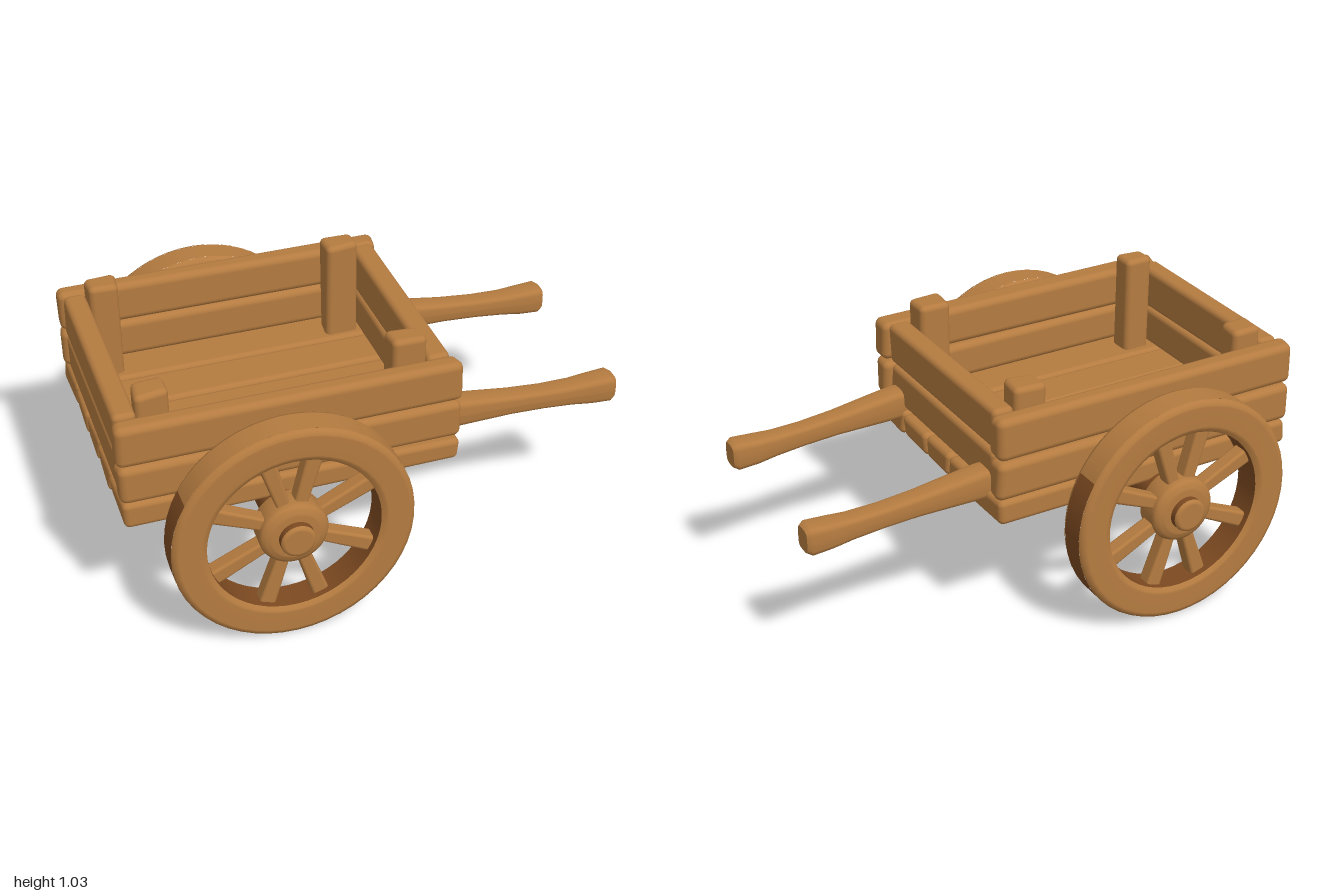
import * as THREE from 'three';
import { RoundedBoxGeometry } from 'three/addons/geometries/RoundedBoxGeometry.js';

const wood = new THREE.MeshStandardMaterial({ color: 0xb47b40 });
wood.name = 'wood';
const darkWood = new THREE.MeshStandardMaterial({ color: 0x7d4a21 });
darkWood.name = 'dark wood';

// Small seeded generator for hand-cut irregularity
let seed = 7;
function wobble(amount) {
  seed = (seed * 16807) % 2147483647;
  return (seed / 2147483647 - 0.5) * 2 * amount;
}

function add(parent, name, geometry, material = wood) {
  const mesh = new THREE.Mesh(geometry, material);
  mesh.name = name;
  parent.add(mesh);
  return mesh;
}

// Rounded plank between two corners, with slightly uneven corners
function plank(parent, name, [x0, x1], [y0, y1], [z0, z1], radius = 0.022) {
  const geo = new RoundedBoxGeometry(x1 - x0, y1 - y0, z1 - z0, 3, radius);
  const shift = Array.from({ length: 8 }, () => [wobble(0.004), wobble(0.005), wobble(0.004)]);
  const p = geo.attributes.position;
  for (let i = 0; i < p.count; i++) {
    const s = shift[(p.getX(i) > 0 ? 1 : 0) + (p.getY(i) > 0 ? 2 : 0) + (p.getZ(i) > 0 ? 4 : 0)];
    p.setXYZ(i, p.getX(i) + s[0], p.getY(i) + s[1], p.getZ(i) + s[2]);
  }
  const mesh = add(parent, name, geo);
  mesh.position.set((x0 + x1) / 2, (y0 + y1) / 2, (z0 + z1) / 2);
  return mesh;
}

// Profile of [radius, z] turned about the z axis
function turned(parent, name, profile, material = wood, start = 0, sweep = Math.PI * 2) {
  const points = profile.map(([r, z]) => new THREE.Vector2(r, z));
  const geo = new THREE.LatheGeometry(points, Math.max(12, Math.round(sweep * 8)), start, sweep);
  geo.rotateX(Math.PI / 2);
  return add(parent, name, geo, material);
}

// Shaft lofted along x from sections of [x, centre y, centre z, half height, half width]
function makeHandle(parent, side) {
  const sections = [
    [0.2, 0.632, 0.352, 0.06, 0.053],
    [0.3, 0.63, 0.352, 0.06, 0.053],
    [0.42, 0.622, 0.35, 0.052, 0.05],
    [0.56, 0.612, 0.348, 0.043, 0.045],
    [0.7, 0.602, 0.346, 0.041, 0.043],
    [0.82, 0.595, 0.344, 0.045, 0.045],
    [0.9, 0.592, 0.343, 0.053, 0.05],
    [0.98, 0.592, 0.343, 0.058, 0.052],
    [1.0, 0.592, 0.343, 0.046, 0.04],
  ];
  const n = sections.length - 1;
  const geo = new THREE.CylinderGeometry(1, 1, 1, 20, n);
  geo.rotateZ(-Math.PI / 2);
  const p = geo.attributes.position;
  const square = (v) => Math.sign(v) * Math.pow(Math.abs(v), 0.5);
  for (let i = 0; i < p.count; i++) {
    const [x, cy, cz, hy, hz] = sections[Math.round((p.getX(i) + 0.5) * n)];
    p.setXYZ(i, x, cy + hy * square(p.getY(i)), cz * side + hz * square(p.getZ(i)));
  }
  geo.computeVertexNormals();
  add(parent, 'handle', geo);
}

function makeWheel() {
  const wheel = new THREE.Group();
  wheel.name = 'wheel';

  // Rim: two side faces, a worn tread on top, dark tread elsewhere
  turned(wheel, 'rimOuterFace', [[0.46, 0.048], [0.455, 0.06], [0.442, 0.067], [0.435, 0.068], [0.355, 0.068], [0.345, 0.066], [0.33, 0.055]]);
  turned(wheel, 'rimInnerFace', [[0.33, -0.055], [0.345, -0.066], [0.355, -0.068], [0.435, -0.068], [0.442, -0.067], [0.455, -0.06], [0.46, -0.048]]);
  const tread = [[0.46, -0.048], [0.46, 0.048]];
  turned(wheel, 'wornTread', tread, wood, Math.PI - 1.05, 2.1);
  turned(wheel, 'tread', tread, darkWood, Math.PI + 1.05, Math.PI * 2 - 2.1);
  turned(wheel, 'rimInside', [[0.33, 0.055], [0.33, -0.055]], darkWood);

  // Hub with a stepped, rounded face
  turned(wheel, 'hub', [[0, -0.062], [0.11, -0.062], [0.13, -0.045], [0.132, 0.035], [0.125, 0.05], [0.11, 0.058], [0.1, 0.06], [0.09, 0.066], [0, 0.066]]);

  // Axle end
  turned(wheel, 'axleEnd', [[0.066, 0.05], [0.066, 0.09]], darkWood);
  turned(wheel, 'axleCap', [[0.066, 0.09], [0.063, 0.098], [0.055, 0.102], [0.05, 0.102], [0, 0.102]]);

  // Eight spokes, widening towards the rim
  for (const degrees of [25, 74, 106, 155, 206, 252, 288, 334]) {
    const geo = new RoundedBoxGeometry(0.25, 0.058, 0.062, 2, 0.012);
    const p = geo.attributes.position;
    for (let i = 0; i < p.count; i++) p.setY(i, p.getY(i) * (1 + p.getX(i) * 1.2));
    geo.translate(0.225, 0, 0);
    add(wheel, 'spoke', geo).rotation.z = THREE.MathUtils.degToRad(degrees);
  }
  return wheel;
}

export function createModel() {
  seed = 7;
  const cart = new THREE.Group();
  cart.name = 'handCart';

  // Floor boards
  const seams = [-0.51, -0.292, -0.098, 0.085, 0.284, 0.51];
  for (let i = 0; i < 5; i++) {
    plank(cart, 'floorBoard', [-0.99, 0.295], [0.51, 0.61], [seams[i] + 0.002, seams[i + 1] - 0.002]);
  }

  // Two rows of side and end boards
  for (const rows of [[0.615, 0.77], [0.778, 0.943]]) {
    for (const side of [-1, 1]) {
      plank(cart, 'sideBoard', [-0.998, 0.298], rows, side > 0 ? [0.423, 0.51] : [-0.51, -0.423], 0.028);
    }
    plank(cart, 'tailBoard', [-0.985, -0.9], rows, [-0.425, 0.425]);
    plank(cart, 'headBoard', [0.185, 0.275], rows, [-0.425, 0.425]);
  }

  // Corner posts
  for (const side of [-1, 1]) {
    const z = side > 0 ? [0.322, 0.424] : [-0.424, -0.322];
    plank(cart, 'cornerPost', [-0.9, -0.78], [0.58, 1.012], z);
    plank(cart, 'cornerPost', [0.052, 0.183], [0.58, side > 0 ? 1.028 : 1.012], z);
    makeHandle(cart, side);
  }

  // Axle under the floor
  const axle = turned(cart, 'axle', [[0.078, -0.57], [0.078, 0.57]], darkWood);
  axle.position.set(-0.405, 0.466, 0);

  // Wheels, the far one turned to face outwards
  for (const side of [-1, 1]) {
    const wheel = makeWheel();
    wheel.position.set(-0.405, 0.461, side * 0.618);
    if (side < 0) wheel.rotation.y = Math.PI;
    cart.add(wheel);
  }
  return cart;
}
